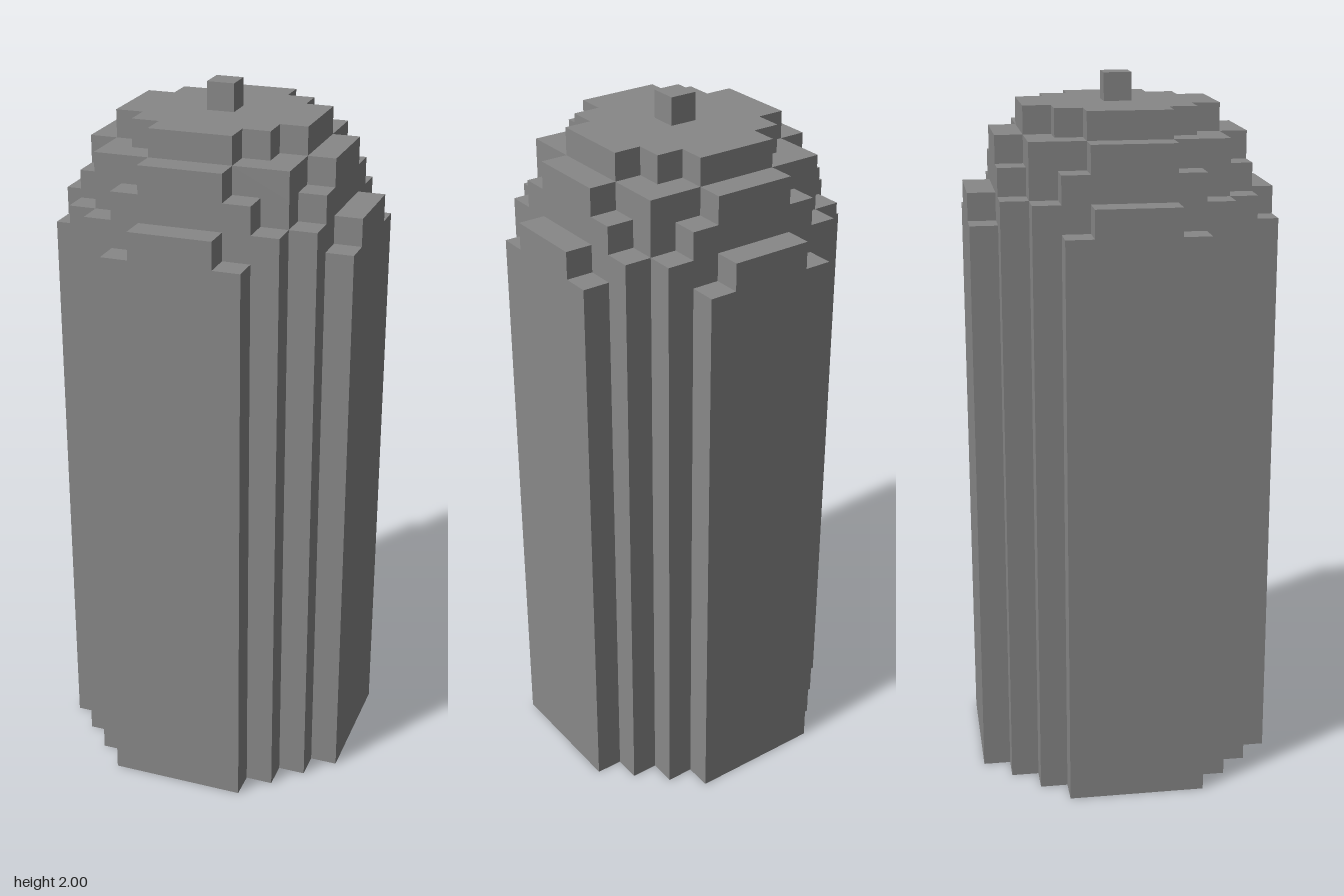
import * as THREE from 'three';

const U = 2 / 26; // edge of one block

// Stepped round outline, mirrored from the outer corners of one quadrant
function steppedShape(corners) {
  const quarter = [];
  corners.forEach(([x, y], i) => {
    quarter.push([x, y]);
    if (i + 1 < corners.length) quarter.push([corners[i + 1][0], y]);
  });
  const back = [...quarter].reverse();
  const outline = [
    ...quarter,
    ...back.map(([x, y]) => [-x, y]),
    ...quarter.map(([x, y]) => [-x, -y]),
    ...back.map(([x, y]) => [x, -y]),
  ];
  return new THREE.Shape(outline.map(([x, y]) => new THREE.Vector2(x * U, y * U)));
}

// Layers from bottom to top: name, bottom and top in blocks, quadrant corners
const LAYERS = [
  ['body', 0, 21, [[5.5, 2.5], [4.5, 3.5], [3.5, 4.5], [2.5, 5.5]]],
  ['shoulder', 21, 22, [[5.5, 1.5], [4.5, 3.5], [3.5, 4.5], [1.5, 5.5]]],
  ['lowerDome', 22, 23, [[4.5, 2.5], [3.5, 3.5], [2.5, 4.5]]],
  ['upperDome', 23, 24, [[4.5, 1.5], [3.5, 3.5], [1.5, 4.5]]],
  ['cap', 24, 25, [[3.5, 1.5], [2.5, 2.5], [1.5, 3.5]]],
  ['topKnob', 25, 26, [[0.5, 0.5]]],
];

export function createModel() {
  const group = new THREE.Group();
  group.name = 'steppedColumn';
  const grey = new THREE.MeshStandardMaterial({ color: 0x888888 });
  grey.name = 'grey';

  for (const [name, bottom, top, corners] of LAYERS) {
    const geometry = new THREE.ExtrudeGeometry(steppedShape(corners), {
      depth: (top - bottom) * U,
      bevelEnabled: false,
    });
    geometry.rotateX(-Math.PI / 2);
    const mesh = new THREE.Mesh(geometry, grey);
    mesh.name = name;
    mesh.position.y = bottom * U;
    group.add(mesh);
  }
  return group;
}
